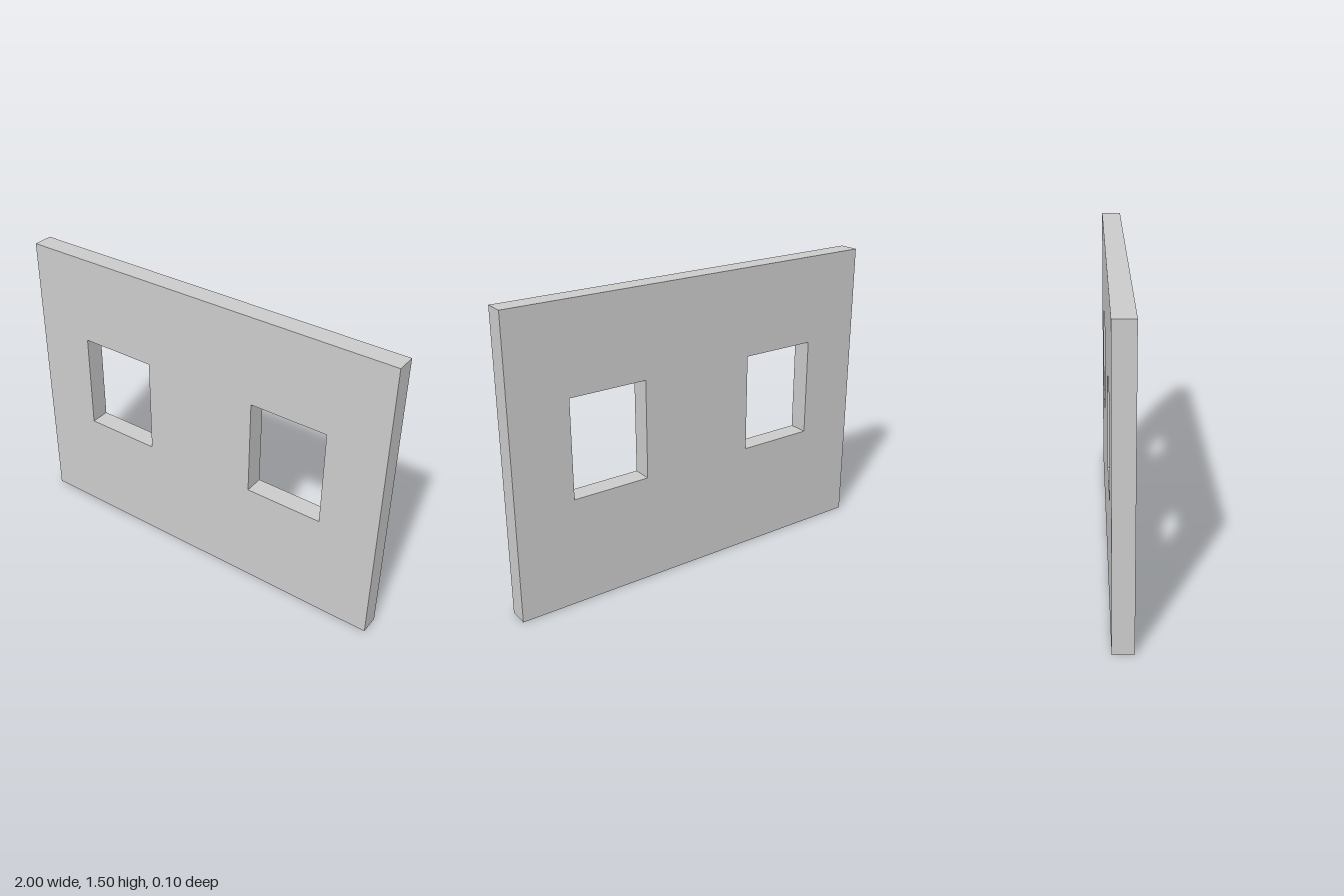
import * as THREE from 'three';

const WIDTH = 2, HEIGHT = 1.5, DEPTH = 0.1;
const WINDOW = { x: 0.5, y: 0.55, width: 0.4, height: 0.5 };

// Closed rectangle from its lower left corner
function rectangle(target, x, y, w, h) {
  target.moveTo(x, y);
  target.lineTo(x + w, y);
  target.lineTo(x + w, y + h);
  target.lineTo(x, y + h);
  target.closePath();
  return target;
}

export function createModel() {
  const group = new THREE.Group();
  group.name = 'wallPanel';

  // Wall outline with two mirrored window openings
  const outline = rectangle(new THREE.Shape(), -WIDTH / 2, 0, WIDTH, HEIGHT);
  for (const side of [-1, 1]) {
    const left = side * WINDOW.x - WINDOW.width / 2;
    outline.holes.push(rectangle(new THREE.Path(), left, WINDOW.y, WINDOW.width, WINDOW.height));
  }

  // Extruded through the thickness, centred on z = 0
  const geometry = new THREE.ExtrudeGeometry(outline, { depth: DEPTH, bevelEnabled: false });
  geometry.translate(0, 0, -DEPTH / 2);

  const wall = new THREE.Mesh(geometry, new THREE.MeshStandardMaterial({ color: 0xcccccc }));
  wall.name = 'wallWithWindows';
  group.add(wall);
  return group;
}
